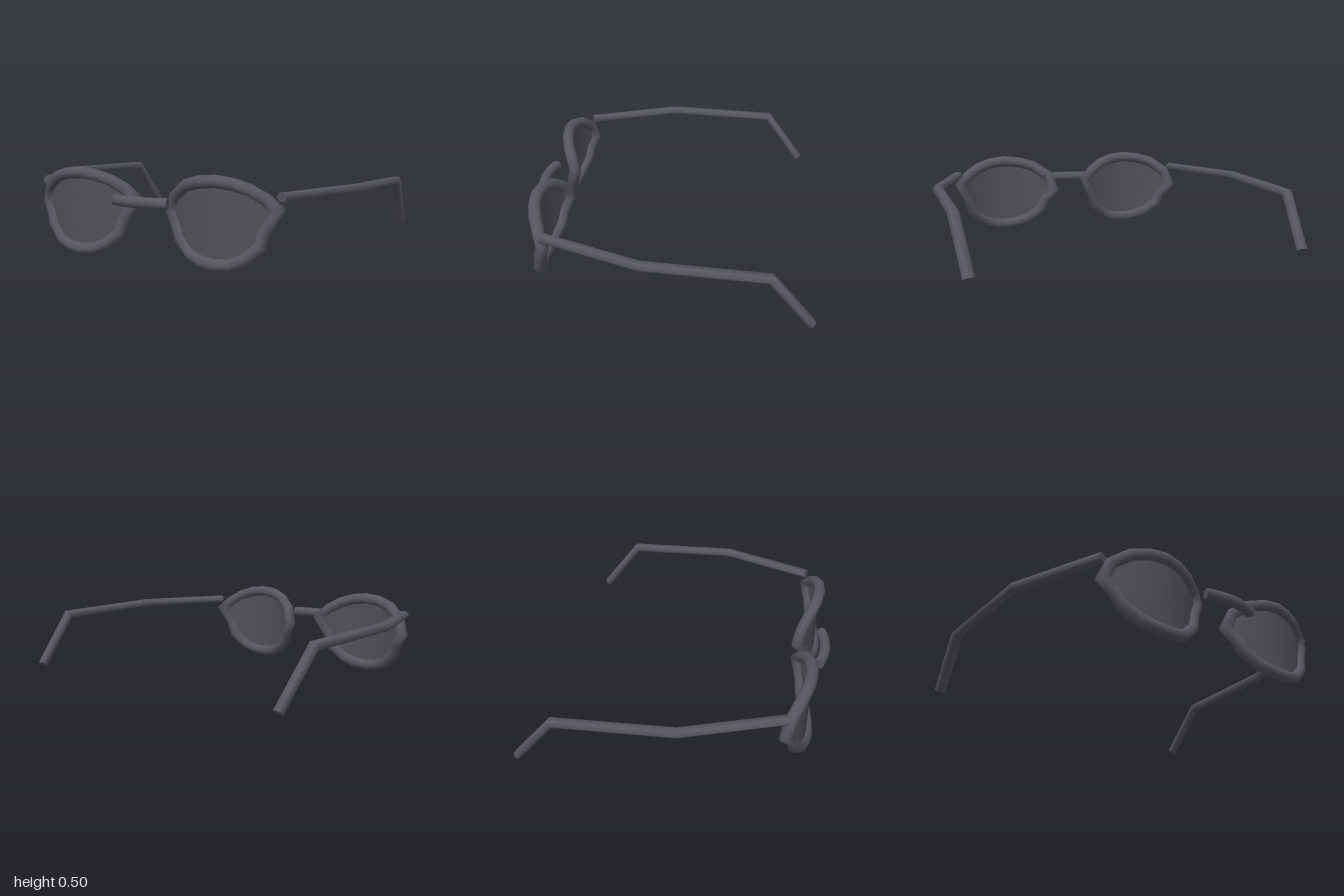
import * as THREE from 'three';

const frameMat = new THREE.MeshStandardMaterial({ color: 0x56565f });
frameMat.name = 'charcoal frame';
const lensMat = new THREE.MeshStandardMaterial({ color: 0x505056, side: THREE.DoubleSide });
lensMat.name = 'dark lens';

// Sweeps an elliptical section along a polyline with mitred corners.
function sweep(points, hint, w, h, sides, closed) {
  const n = points.length, pos = [], idx = [];
  const seg = i => points[(i + 1) % n].clone().sub(points[i]).normalize();
  for (let i = 0; i < n; i++) {
    const prev = closed || i > 0 ? seg((i + n - 1) % n) : seg(0);
    const next = closed || i < n - 1 ? seg(i) : prev;
    const t = prev.clone().add(next).normalize();
    const s = prev.clone().cross(hint).normalize();
    const b = s.clone().cross(prev);
    for (let j = 0; j < sides; j++) {
      const a = (j / sides) * Math.PI * 2;
      const v = s.clone().multiplyScalar(Math.cos(a) * w).addScaledVector(b, Math.sin(a) * h);
      v.addScaledVector(prev, -v.dot(t) / prev.dot(t)).add(points[i]);
      pos.push(v.x, v.y, v.z);
    }
  }
  for (let i = 0; i < (closed ? n : n - 1); i++) {
    for (let j = 0; j < sides; j++) {
      const k = (j + 1) % sides, a = i * sides, b = ((i + 1) % n) * sides;
      idx.push(a + j, b + j, a + k, b + j, b + k, a + k);
    }
  }
  // flat end caps on their own vertices
  if (!closed) {
    for (const end of [0, n - 1]) {
      const base = pos.length / 3;
      for (let j = 0; j < sides * 3; j++) pos.push(pos[end * sides * 3 + j]);
      for (let j = 1; j < sides - 1; j++) {
        if (end) idx.push(base, base + j + 1, base + j);
        else idx.push(base, base + j, base + j + 1);
      }
    }
  }
  return build(pos, idx);
}

function build(pos, idx) {
  const g = new THREE.BufferGeometry();
  g.setAttribute('position', new THREE.Float32BufferAttribute(pos, 3));
  g.setIndex(idx);
  g.computeVertexNormals();
  return g;
}

// Rim centre line, counterclockwise from the right tip
const outline = [
  [0.305, 0.335], [0.255, 0.388], [0.18, 0.434], [0.095, 0.461], [0, 0.471], [-0.1, 0.461],
  [-0.195, 0.434], [-0.285, 0.37], [-0.322, 0.278], [-0.27, 0.21], [-0.245, 0.145],
  [-0.16, 0.074], [-0.08, 0.047], [0, 0.039], [0.08, 0.047], [0.15, 0.076],
  [0.23, 0.15], [0.25, 0.23]
];
const bow = x => 0.727 - x * x; // wrap of the lens front

// Lens pane: concentric rings bent to the wrap
function lensGeometry() {
  const rings = 5, n = outline.length, cy = 0.27, pos = [0, cy, bow(0)], idx = [];
  for (let r = 1; r <= rings; r++) {
    for (const [x, y] of outline) {
      const s = r / rings;
      pos.push(x * s, cy + (y - cy) * s, bow(x * s));
    }
  }
  for (let j = 0; j < n; j++) {
    const k = (j + 1) % n;
    idx.push(0, 1 + j, 1 + k);
    for (let r = 0; r < rings - 1; r++) {
      const a = 1 + r * n, b = a + n;
      idx.push(a + j, b + j, b + k, a + j, b + k, a + k);
    }
  }
  return build(pos, idx);
}

export function createModel() {
  const model = new THREE.Group();
  model.name = 'sunglasses';
  const V = (x, y, z) => new THREE.Vector3(x, y, z);
  const add = (name, geometry, material, x = 0) => {
    const m = new THREE.Mesh(geometry, material);
    m.name = name;
    m.position.x = x;
    model.add(m);
  };
  const up = V(0, 1, 0);

  const rim = sweep(outline.map(([x, y]) => V(x, y, bow(x))), V(0, 0, 1), 0.034, 0.036, 8, true);
  const lens = lensGeometry();
  for (const [side, s] of [['left', 1], ['right', -1]]) {
    // both rims share one shape, shifted sideways
    add(side + 'Rim', rim, frameMat, s * 0.43);
    add(side + 'Lens', lens, lensMat, s * 0.43);
    // temple arm with the drop behind the ear
    const arm = [V(s * 0.755, 0.4, 0.63), V(s * 0.957, 0.4, 0.08),
      V(s * 0.965, 0.375, -0.578), V(s * 0.933, 0.086, -0.805)];
    add(side + 'Arm', sweep(arm, up, 0.034, 0.026, 6, false), frameMat);
  }

  // bowed nose bridge
  const bridge = [];
  for (let i = 0; i <= 6; i++) {
    const x = -0.168 + i * 0.056;
    bridge.push(V(x, 0.34, 0.79 - 1.05 * x * x));
  }
  add('bridge', sweep(bridge, up, 0.032, 0.031, 8, false), frameMat);
  return model;
}
